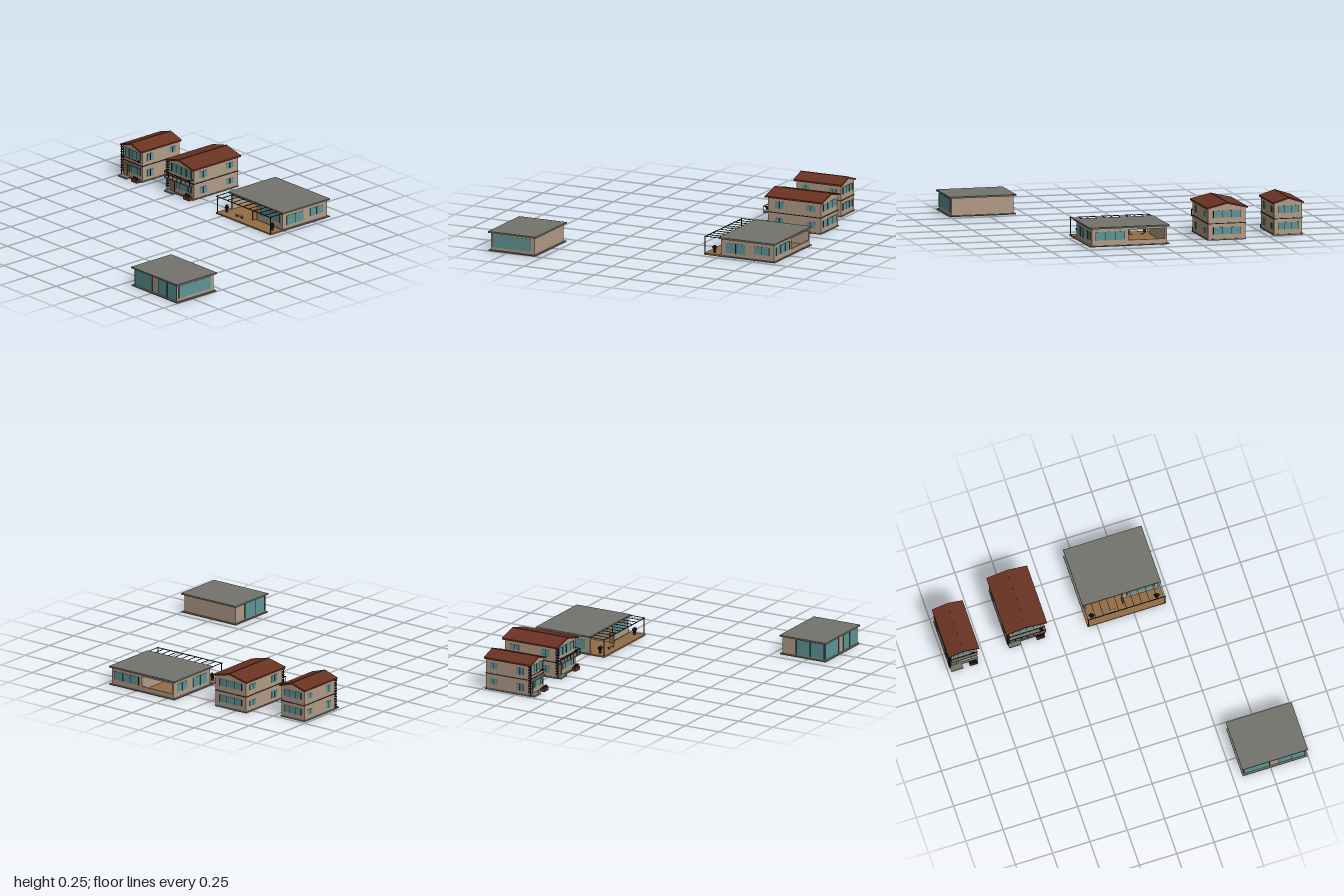
import * as THREE from 'three';

const mat = (name, color) => Object.assign(new THREE.MeshStandardMaterial({ color }), { name });
const wall = mat('tan wall', 0xb39b86);
const glass = mat('teal glass', 0x5f9596);
const frame = mat('dark frame', 0x1f2322);
const tile = mat('red brown roof', 0x6b3323);
const slab = mat('grey slab', 0x73746d);
const wood = mat('wood', 0x946c45);
const leaf = mat('dark leaf', 0x16241a);
const pale = mat('pale bench', 0xa9a294);

const named = (name) => { const g = new THREE.Group(); g.name = name; return g; };

// Box given by its bounds
function box(g, name, m, x0, x1, y0, y1, z0, z1) {
  const b = new THREE.Mesh(new THREE.BoxGeometry(x1 - x0, y1 - y0, z1 - z0), m);
  b.position.set((x0 + x1) / 2, (y0 + y1) / 2, (z0 + z1) / 2);
  b.name = name;
  g.add(b);
  return b;
}

// Thin plate lying on a wall; a0..a1 runs along x (front, back) or z (left, right)
function plate(g, name, m, side, at, a0, a1, y0, y1, t) {
  const out = side === 'front' || side === 'right' ? t : -t;
  const lo = Math.min(at, at + out), hi = Math.max(at, at + out);
  if (side === 'front' || side === 'back') box(g, name, m, a0, a1, y0, y1, lo, hi);
  else box(g, name, m, lo, hi, y0, y1, a0, a1);
}

// Glass with dark upright bars at given fractions of its width
function pane(g, side, at, a0, a1, y0, y1, bars = [0.5]) {
  plate(g, 'windowGlass', glass, side, at, a0, a1, y0, y1, 0.002);
  for (const f of bars) {
    const c = a0 + (a1 - a0) * f;
    plate(g, 'windowBar', frame, side, at, c - 0.0016, c + 0.0016, y0, y1, 0.004);
  }
}

// Leafy ball made of a few low-poly clumps
function plant(g, x, y, z, r) {
  for (const [dx, dy, dz, s] of [[0, 0, 0, 1], [0.6, 0.3, 0.3, 0.65], [-0.6, 0.2, -0.3, 0.65], [0, 0.7, 0, 0.6]]) {
    const p = new THREE.Mesh(new THREE.IcosahedronGeometry(r * s, 0), leaf);
    p.position.set(x + dx * r, y + dy * r, z + dz * r);
    p.name = 'plant';
    g.add(p);
  }
}

function extrude(g, name, m, pts, z0, z1) {
  const s = new THREE.Shape(pts.map(([x, y]) => new THREE.Vector2(x, y)));
  const e = new THREE.Mesh(new THREE.ExtrudeGeometry(s, { depth: z1 - z0, bevelEnabled: false }), m);
  e.position.z = z0;
  e.name = name;
  g.add(e);
}

// Two-storey gabled house, standing on x0..x1 and z0..z1
function gableHouse(name, x0, x1, z0, z1, roofZ0, roofZ1, over) {
  const g = named(name);
  const w = x1 - x0, d = z1 - z0, cx = (x0 + x1) / 2, e0 = x0 - over, e1 = x1 + over;
  box(g, 'baseSlab', slab, x0 - 0.004, x1 + 0.004, 0, 0.008, z0 - 0.004, z1 + 0.012);
  extrude(g, 'walls', wall, [[x0, 0.008], [x1, 0.008], [x1, 0.207], [cx, 0.235], [x0, 0.207]], z0, z1);
  extrude(g, 'roof', tile, [[e0, 0.203], [cx, 0.235], [e1, 0.203], [e1, 0.213], [cx, 0.245], [e0, 0.213]], roofZ0, roofZ1);
  box(g, 'roofRidge', tile, cx - 0.002, cx + 0.002, 0.242, 0.247, roofZ0, roofZ1);
  // Storey band
  box(g, 'storeyBand', frame, x0 - 0.003, x1 + 0.003, 0.105, 0.11, z0 - 0.003, z1 + 0.003);
  // Windows on sides and back, on both floors
  for (const up of [0, 0.107]) {
    for (const [side, at] of [['left', x0], ['right', x1]]) {
      pane(g, side, at, z1 - d * 0.29, z1 - d * 0.13, 0.03 + up, 0.075 + up);
      pane(g, side, at, z0 + d * 0.1, z0 + d * 0.27, 0.038 + up, 0.073 + up);
    }
    pane(g, 'back', z0, x0 + w * 0.14, x1 - w * 0.14, 0.038 + up, 0.083 + up, [0, 0.33, 0.67, 1]);
  }
  // Front windows and door
  pane(g, 'front', z1, x0 + w * 0.33, x1 - w * 0.1, 0.038, 0.084, [0, 0.2, 0.8, 1]);
  pane(g, 'front', z1, x0 + w * 0.14, x1 - w * 0.1, 0.14, 0.193, [0, 0.25, 0.5, 0.75, 1]);
  plate(g, 'frontDoor', wood, 'front', z1, x0 + w * 0.09, x0 + w * 0.24, 0.008, 0.085, 0.003);
  plate(g, 'doorFrame', frame, 'front', z1, x0 + w * 0.24, x0 + w * 0.255, 0.008, 0.088, 0.004);
  // Slatted screen at one corner
  for (let y = 0.03; y < 0.2; y += 0.018) box(g, 'screenSlat', frame, x0 - 0.008, x0 + 0.01, y, y + 0.006, z1, roofZ1 - 0.003);
  box(g, 'screenPost', frame, x0 - 0.002, x0 + 0.003, 0, 0.205, roofZ1 - 0.007, roofZ1 - 0.003);
  return g;
}

// Balcony slab with rail
function balcony(g, x0, x1, z0, z1) {
  box(g, 'balconySlab', slab, x0, x1, 0.097, 0.105, z0, z1);
  box(g, 'balconyRail', frame, x0, x1, 0.137, 0.141, z1 - 0.004, z1);
  for (const x of [x0, x1 - 0.003]) box(g, 'balconySideRail', frame, x, x + 0.003, 0.137, 0.141, z0, z1);
  for (let i = 0; i <= 6; i++) {
    const x = x0 + (x1 - x0 - 0.003) * i / 6;
    box(g, 'balconyPost', frame, x, x + 0.003, 0.105, 0.138, z1 - 0.004, z1 - 0.001);
  }
}

function smallHouse() {
  const g = gableHouse('smallHouse', -0.98, -0.795, -0.725, -0.41, -0.735, -0.392, 0.01);
  box(g, 'porchCanopy', slab, -0.98, -0.795, 0.09, 0.098, -0.41, -0.394);
  box(g, 'entryStep', slab, -0.98, -0.9, 0, 0.01, -0.4, -0.367);
  box(g, 'planter', tile, -0.855, -0.8, 0, 0.022, -0.395, -0.368);
  for (const x of [-0.842, -0.828, -0.813]) plant(g, x, 0.026, -0.38, 0.009);
  plant(g, -0.825, 0.134, -0.402, 0.008);
  box(g, 'balconyRail', frame, -0.98, -0.795, 0.134, 0.137, -0.398, -0.395);
  return g;
}

function largeHouse() {
  const g = gableHouse('largeHouse', -0.58, -0.335, -0.815, -0.44, -0.83, -0.422, 0.014);
  balcony(g, -0.58, -0.335, -0.44, -0.402);
  box(g, 'entryStep', slab, -0.58, -0.5, 0, 0.01, -0.43, -0.405);
  box(g, 'planter', tile, -0.395, -0.34, 0, 0.024, -0.43, -0.403);
  for (const x of [-0.382, -0.367, -0.352]) plant(g, x, 0.03, -0.416, 0.009);
  plant(g, -0.36, 0.125, -0.42, 0.01);
  return g;
}

// Single-storey house with an open hall, deck and pergola
function deckHouse() {
  const g = named('deckHouse');
  box(g, 'floorSlab', slab, -0.06, 0.465, 0, 0.006, -0.89, -0.49);
  box(g, 'hallFloor', wood, -0.035, 0.21, 0.006, 0.009, -0.87, -0.49);
  box(g, 'flatRoof', slab, -0.06, 0.465, 0.115, 0.125, -0.89, -0.49);
  box(g, 'sideWall', wall, -0.045, -0.033, 0.006, 0.115, -0.88, -0.5);
  box(g, 'roomBlock', wall, 0.21, 0.45, 0.006, 0.115, -0.88, -0.5);
  box(g, 'backSill', wall, -0.033, 0.21, 0.006, 0.036, -0.88, -0.87);
  box(g, 'backLintel', wall, -0.033, 0.21, 0.103, 0.115, -0.88, -0.87);
  box(g, 'frontLintel', wall, -0.033, 0.21, 0.103, 0.115, -0.51, -0.5);
  // Windows
  pane(g, 'front', -0.5, 0.24, 0.425, 0.045, 0.1, [0, 1]);
  pane(g, 'back', -0.88, 0.235, 0.425, 0.04, 0.095, [0, 0.33, 0.67, 1]);
  for (const [side, at] of [['right', 0.45], ['left', -0.045]]) {
    pane(g, side, at, -0.675, -0.535, 0.028, 0.092);
    pane(g, side, at, -0.845, -0.735, 0.04, 0.092);
  }
  // Open door leaf
  box(g, 'openDoor', wood, 0.2, 0.206, 0.008, 0.077, -0.5, -0.463);
  // Deck with board joints
  box(g, 'deck', wood, -0.06, 0.465, 0, 0.01, -0.49, -0.385);
  // Pergola
  for (const x of [-0.055, 0.457]) box(g, 'pergolaPost', frame, x, x + 0.004, 0.01, 0.118, -0.393, -0.388);
  box(g, 'pergolaBeam', frame, -0.06, 0.465, 0.116, 0.12, -0.392, -0.387);
  for (let i = 0; i <= 10; i++) {
    const x = -0.057 + i * 0.0515;
    box(g, 'pergolaSlat', frame, x, x + 0.0025, 0.118, 0.122, -0.49, -0.386);
  }
  // Potted plants and bench
  for (const x of [-0.017, 0.42]) {
    const pot = new THREE.Mesh(new THREE.CylinderGeometry(0.01, 0.007, 0.02, 8), frame);
    pot.position.set(x, 0.02, -0.44);
    pot.name = 'pot';
    g.add(pot);
    plant(g, x, 0.042, -0.44, 0.015);
  }
  box(g, 'bench', pale, 0.08, 0.14, 0.022, 0.026, -0.442, -0.427);
  for (const x of [0.084, 0.132]) box(g, 'benchLeg', frame, x, x + 0.004, 0.01, 0.022, -0.44, -0.429);
  return g;
}

// Glazed single-storey pavilion
function pavilion() {
  const g = named('pavilion');
  box(g, 'floorSlab', slab, 0.562, 0.998, 0, 0.007, 0.547, 0.883);
  box(g, 'walls', wall, 0.575, 0.985, 0.007, 0.119, 0.56, 0.87);
  box(g, 'flatRoof', slab, 0.56, 1, 0.119, 0.129, 0.545, 0.885);
  pane(g, 'front', 0.87, 0.577, 0.75, 0.01, 0.117, [0.01, 0.99]);
  pane(g, 'front', 0.87, 0.805, 0.983, 0.01, 0.117, [0.01, 0.48, 0.99]);
  pane(g, 'right', 0.985, 0.585, 0.86, 0.025, 0.107, [0.99]);
  pane(g, 'left', 0.575, 0.66, 0.865, 0.015, 0.112, [0, 0.5, 1]);
  return g;
}

export function createModel() {
  const model = named('houses');
  model.add(smallHouse(), largeHouse(), deckHouse(), pavilion());
  return model;
}
